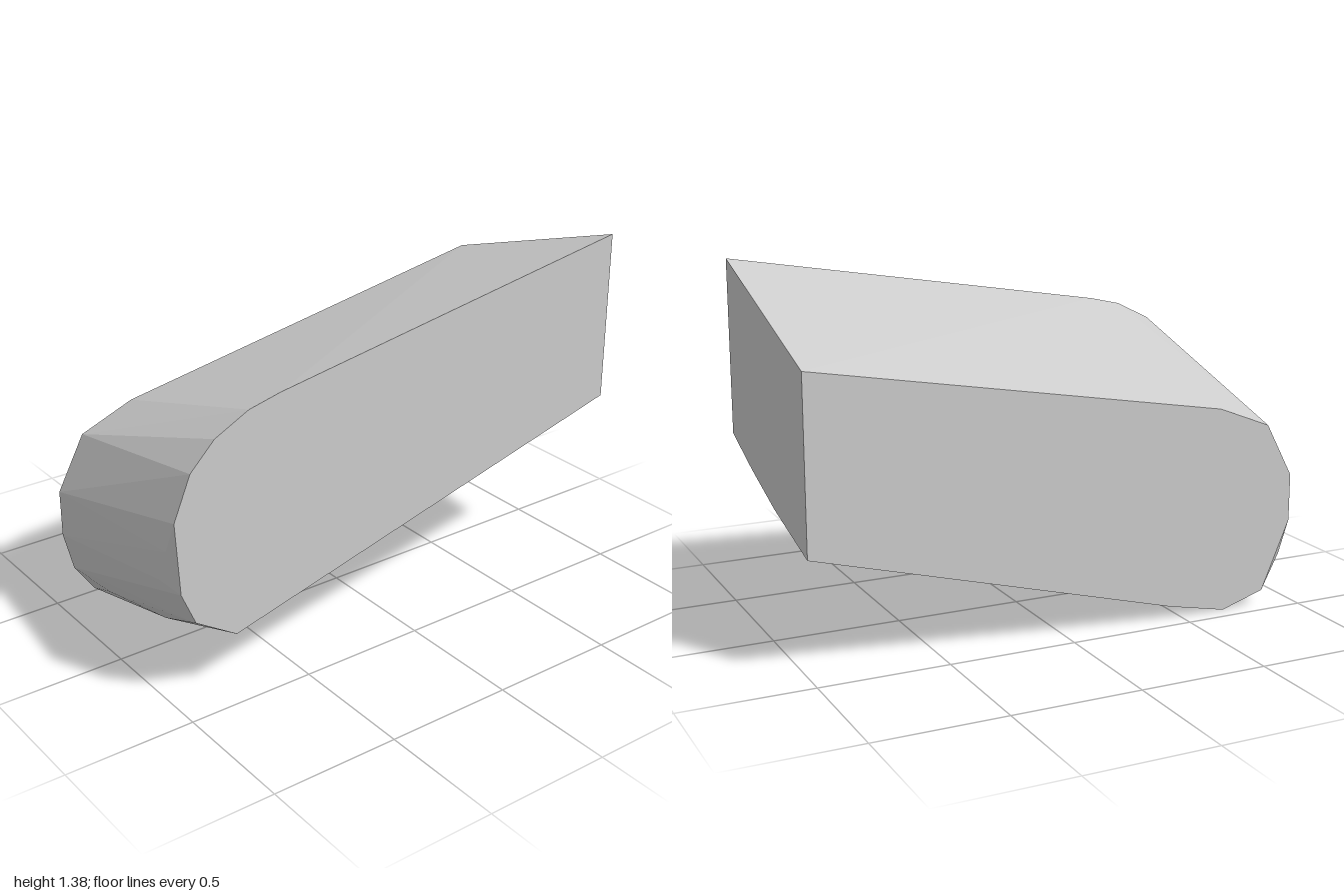
import * as THREE from 'three';
import { ConvexGeometry } from 'three/addons/geometries/ConvexGeometry.js';

export function createModel() {
  const group = new THREE.Group();
  const stone = new THREE.MeshStandardMaterial({ color: 0xcccccc });
  stone.name = 'light grey';

  const half = 0.435;

  // Side outlines as [z, y]: the block is sheared, so the two ends differ.
  const highEnd = [
    [-1, 1.375], [0.56, 1.12], [0.69, 1.09], [0.83, 1.02], [0.93, 0.92],
    [1, 0.755], [0.985, 0.475], [0.93, 0.345], [0.765, 0.24], [-1, 0.7],
  ];
  const lowEnd = [
    [-1, 1.1], [0.655, 0.81], [0.872, 0.725], [0.985, 0.515], [0.985, 0.33],
    [0.868, 0.055], [0.69, 0], [0.45, 0.05], [-1, 0.44],
  ];

  // Gentle bulge of the nose and the underside between the ends, as [x, y, z].
  const bulge = [
    [-0.41, 0.19, 0.96], [0.37, 0.62, 1], [0.29, 0.475, 0.99],
    [-0.2, 0.17, 0.925], [0.05, 0.15, 0.84], [0.15, 0.21, 0.885],
    [-0.07, 0.085, 0.69], [0.2, 0.16, 0.71],
    [-0.07, 0.527, -1], [0.2, 0.613, -1],
  ];

  const points = [
    ...highEnd.map(([z, y]) => new THREE.Vector3(half, y, z)),
    ...lowEnd.map(([z, y]) => new THREE.Vector3(-half, y, z)),
    ...bulge.map((p) => new THREE.Vector3(...p)),
  ];

  // Faceted, rounded-nose block
  const block = new THREE.Mesh(new ConvexGeometry(points), stone);
  block.name = 'roundedBlock';
  group.add(block);
  return group;
}
